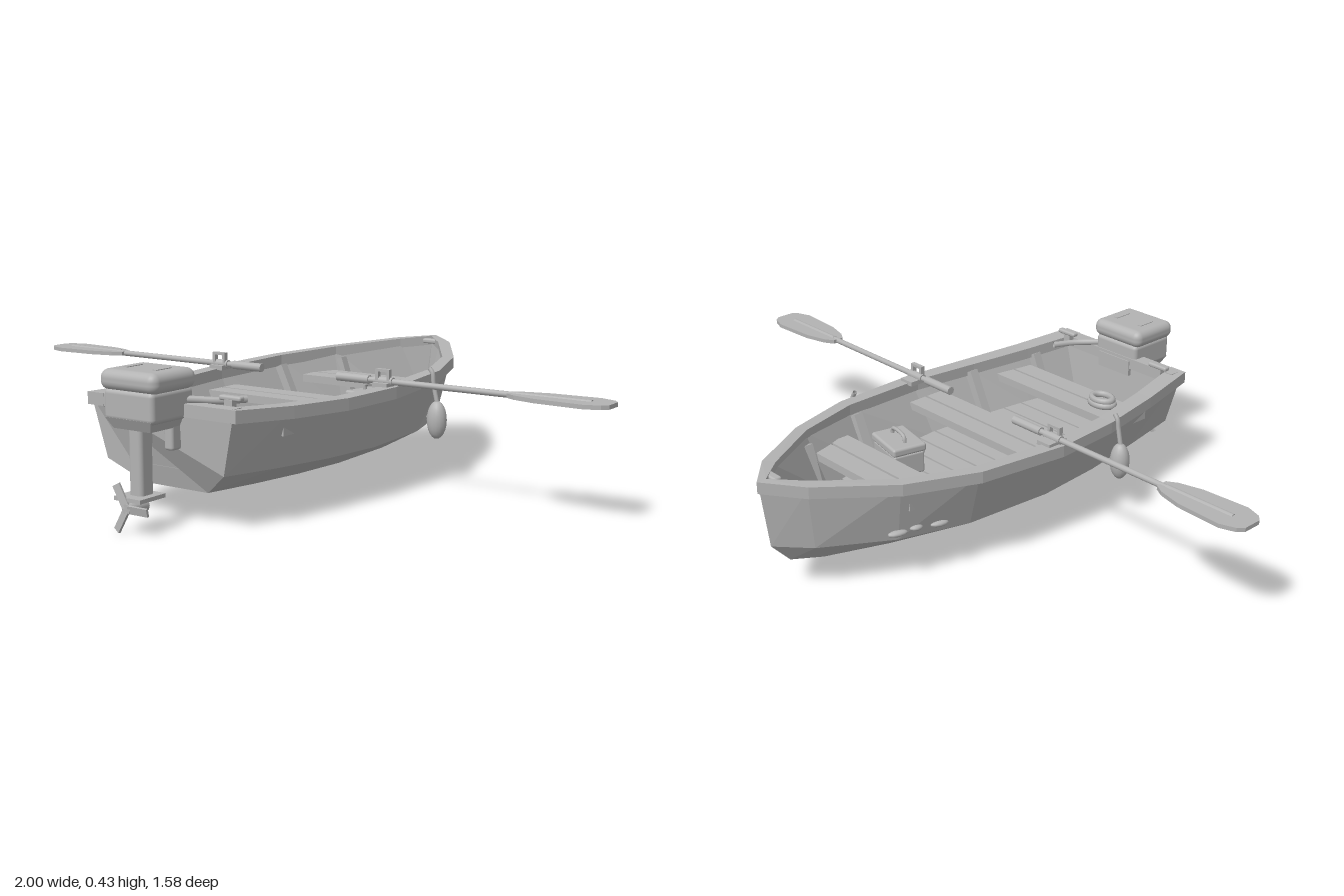
import * as THREE from 'three';
import { RoundedBoxGeometry } from 'three/addons/geometries/RoundedBoxGeometry.js';

const grey = new THREE.MeshStandardMaterial({ color: 0xb3b3b3, side: THREE.DoubleSide });
grey.name = 'plain grey';

// Hull stations: z, half width and height of the gunwale, stern to bow
const STATIONS = [
  [0.655, 0.257, 0.335], [0.45, 0.293, 0.322], [0.24, 0.325, 0.316], [0.02, 0.342, 0.319],
  [-0.27, 0.315, 0.328], [-0.49, 0.24, 0.338], [-0.70, 0.105, 0.353], [-0.79, 0, 0.36],
];
const progress = (z) => (0.655 - z) / 1.445;

function gunwaleAt(z) {
  let i = 0;
  while (i < STATIONS.length - 2 && STATIONS[i + 1][0] > z) i++;
  const a = STATIONS[i], b = STATIONS[i + 1];
  const k = (a[0] - z) / (a[0] - b[0]);
  return { w: a[1] + (b[1] - a[1]) * k, y: a[2] + (b[2] - a[2]) * k };
}

export function createModel() {
  const model = new THREE.Group();
  model.name = 'rowingBoat';

  function add(name, geometry, x = 0, y = 0, z = 0, parent = model) {
    const mesh = new THREE.Mesh(geometry, grey);
    mesh.name = name;
    mesh.position.set(x, y, z);
    parent.add(mesh);
    return mesh;
  }
  const box = (name, w, h, d, x, y, z, parent) => add(name, new THREE.BoxGeometry(w, h, d), x, y, z, parent);
  const rounded = (name, w, h, d, r, x, y, z, parent) =>
    add(name, new RoundedBoxGeometry(w, h, d, 3, r), x, y, z, parent);
  const tube = (name, points, r, parent) => add(name, new THREE.TubeGeometry(
    new THREE.CatmullRomCurve3(points.map((p) => new THREE.Vector3(...p))), 20, r, 8), 0, 0, 0, parent);

  // Flat shaded surface through a row of cross-sections
  function loft(rows, closed) {
    const pos = [];
    const n = rows[0].length;
    for (let i = 0; i < rows.length - 1; i++) {
      for (let j = 0; j < (closed ? n : n - 1); j++) {
        const k = (j + 1) % n;
        const a = rows[i][j], b = rows[i][k], c = rows[i + 1][k], d = rows[i + 1][j];
        pos.push(...a, ...b, ...c, ...a, ...c, ...d);
      }
    }
    for (let j = 1; j < n - 1; j++) pos.push(...rows[0][0], ...rows[0][j + 1], ...rows[0][j]);
    const g = new THREE.BufferGeometry();
    g.setAttribute('position', new THREE.Float32BufferAttribute(pos, 3));
    g.computeVertexNormals();
    return g;
  }

  // Skin whose levels run from sheer to bottom: [width scale, inset, stern z, bow z, height rule]
  const skin = (levels) => loft(STATIONS.map(([z, w, y]) => {
    const t = progress(z);
    const half = levels.map(([k, inset, stern, bow, height]) =>
      [Math.max(0, w * k - inset), height(y, t), stern + (bow - stern) * t]);
    return [...half.map(([x, h, d]) => [-x, h, d]), ...half.reverse()];
  }), false);
  const bend = (t) => (2 * t - 1) ** 2;
  add('outerHull', skin([
    [1, 0.012, 0.65, -0.785, (y) => y - 0.015],
    [0.79, 0, 0.638, -0.76, (y, t) => 0.135 + 0.018 * bend(t)],
    [0.43, 0, 0.59, -0.70, (y, t) => 0.073 + 0.015 * bend(t)],
  ]));
  add('innerHull', skin([
    [1, 0.028, 0.62, -0.765, (y) => y - 0.01],
    [0.72, 0.02, 0.605, -0.715, () => 0.145],
  ]));

  // Gunwale rails, narrowing to the bow, and transom cap
  for (const s of [-1, 1]) {
    add('gunwale', loft(STATIONS.map(([z, w, y]) => {
      const t = progress(z);
      const x = s * w, inner = s * Math.max(0, w - 0.058 * (1 - 0.5 * t));
      const zi = z + 0.03 * t ** 4;
      return [[x, y, z], [inner, y, zi], [inner, y - 0.035, zi], [x, y - 0.035, z]];
    }), true));
  }
  box('transomCap', 0.48, 0.035, 0.045, 0, 0.317, 0.631);

  // Floor planks
  for (let z = -0.49; z < 0.59; z += 0.07) {
    box('floorPlank', 2 * (0.71 * gunwaleAt(z - 0.03).w - 0.006), 0.014, 0.063, 0, 0.152, z);
  }

  // Benches of two boards each
  for (const [z, w, d] of [[-0.385, 0.45, 0.066], [0.04, 0.56, 0.062], [0.395, 0.53, 0.062]]) {
    for (const s of [-1, 1]) box('benchBoard', w, 0.024, d, 0, 0.25, z + s * (d / 2 + 0.004));
  }

  for (const s of [-1, 1]) {
    // Ribs leaning on the inner walls
    for (const z of [-0.49, -0.25, 0.23, 0.48]) {
      const { w } = gunwaleAt(z);
      const rib = box('rib', 0.028, 0.15, 0.03, s * (0.86 * w - 0.037), 0.228, z);
      rib.rotation.z = -s * Math.atan2(0.28 * w - 0.008, 0.17);
    }

    // Oar with a ridged blade
    const oar = new THREE.Group();
    oar.name = 'oar';
    oar.position.set(0, 0.332, 0.02);
    model.add(oar);
    const rod = (name, r, from, to) => {
      add(name, new THREE.CylinderGeometry(r, r, to - from, 10), s * (from + to) / 2, 0, 0, oar).rotation.z = Math.PI / 2;
    };
    rod('oarShaft', 0.009, 0.2, 0.76);
    rod('oarGrip', 0.013, 0.14, 0.25);
    rod('oarCollar', 0.013, 0.27, 0.33);
    rod('bladeRidge', 0.01, 0.72, 0.94);
    const edge = [[0.70, 0.018], [0.73, 0.036], [0.80, 0.054], [0.94, 0.062], [0.985, 0.046], [1, 0.028]];
    const outline = [...edge, ...edge.map(([x, z]) => [x, -z]).reverse()];
    const shape = new THREE.Shape(outline.map(([x, z]) => new THREE.Vector2(s * x, z)));
    add('oarBlade', new THREE.ExtrudeGeometry(shape, { depth: 0.012, bevelEnabled: false }), 0, 0.006, 0, oar)
      .rotation.x = Math.PI / 2;

    // Oarlock: a small arch over the shaft
    box('oarlockBase', 0.05, 0.014, 0.07, s * 0.3, 0.322, 0.012);
    for (const k of [-1, 1]) box('oarlockHorn', 0.009, 0.04, 0.014, s * 0.3 + k * 0.019, 0.344, 0.025);
    box('oarlockTop', 0.047, 0.008, 0.014, s * 0.3, 0.364, 0.025);

    // Fender on its rope
    const z = s > 0 ? -0.215 : 0.265;
    const { w, y } = gunwaleAt(z);
    add('fender', new THREE.SphereGeometry(1, 16, 12), s * 0.34, 0.187, z).scale.set(0.031, 0.058, 0.028);
    tube('fenderRope', [[s * 0.34, 0.24, z], [s * (w + 0.008), 0.29, z], [s * (w + 0.003), y, z],
      [s * (w - 0.008), y + 0.016, z]], 0.007);

    // Stern cleats
    box('cleatFoot', 0.025, 0.03, 0.02, s * 0.197, 0.335, 0.60);
    rounded('cleatBar', 0.072, 0.014, 0.022, 0.006, s * 0.197, 0.353, 0.595);

    // Small growths on the bow sides
    for (const [bz, by, r] of [[-0.357, 0.167, 0.028], [-0.425, 0.172, 0.02], [-0.478, 0.167, 0.03]]) {
      const lump = add('hullLump', new THREE.SphereGeometry(1, 10, 8), s * (gunwaleAt(bz - 0.01).w * 0.83 - 0.002), by, bz);
      lump.scale.set(0.013, 0.009, r);
      lump.rotation.y = s * 0.3;
    }
  }

  // Bow cleat
  rounded('bowCleat', 0.07, 0.016, 0.026, 0.006, 0.025, 0.347, -0.728);

  // Rope coil on the rear bench
  for (const [r, y] of [[0.041, 0.271], [0.036, 0.285]]) {
    const coil = add('ropeCoil', new THREE.TorusGeometry(r, 0.011, 8, 24), -0.14, y, 0.4);
    coil.rotation.x = Math.PI / 2;
    coil.scale.y = 0.74;
  }

  // Tackle box
  const chest = new THREE.Group();
  chest.name = 'tackleBox';
  chest.position.set(0.122, 0.159, -0.205);
  chest.rotation.y = -0.22;
  model.add(chest);
  rounded('chestBody', 0.14, 0.07, 0.1, 0.006, 0, 0.035, 0, chest);
  rounded('chestLid', 0.15, 0.026, 0.11, 0.008, 0, 0.083, 0, chest);
  tube('chestHandle', [[-0.04, 0.092, 0], [-0.035, 0.112, 0], [0.035, 0.112, 0], [0.04, 0.092, 0]], 0.006, chest);
  for (const x of [-0.045, 0.045]) box('chestLatch', 0.018, 0.03, 0.008, x, 0.07, 0.056, chest);

  // Outboard motor
  const motor = new THREE.Group();
  motor.name = 'outboardMotor';
  model.add(motor);
  rounded('cowlTop', 0.195, 0.056, 0.175, 0.024, 0, 0.4, 0.695, motor);
  rounded('cowlBody', 0.17, 0.085, 0.165, 0.014, 0, 0.336, 0.694, motor);
  const taper = add('cowlTaper', new THREE.CylinderGeometry(0.112, 0.09, 0.03, 4, 1)
    .rotateY(Math.PI / 4).toNonIndexed(), 0, 0.287, 0.697, motor);
  taper.geometry.computeVertexNormals();
  for (const s of [-1, 1]) {
    box('cowlVent', 0.014, 0.006, 0.06, s * 0.05, 0.427, 0.695, motor);
    rounded('clampArm', 0.03, 0.08, 0.04, 0.008, s * 0.05, 0.25, 0.658, motor);
  }
  box('mountBracket', 0.13, 0.05, 0.07, 0, 0.30, 0.64, motor);
  rounded('driveLeg', 0.045, 0.2, 0.052, 0.012, 0, 0.183, 0.728, motor);
  box('splashPlate', 0.09, 0.011, 0.1, 0, 0.092, 0.735, motor);
  const gear = add('gearCase', new THREE.CylinderGeometry(0.014, 0.02, 0.07, 12), 0, 0.068, 0.755, motor);
  gear.rotation.x = Math.PI / 2;
  tube('tillerArm', [[0.06, 0.345, 0.65], [0.1, 0.342, 0.615], [0.145, 0.338, 0.575], [0.18, 0.337, 0.51]], 0.01, motor);

  // Three-bladed propeller
  for (let i = 0; i < 3; i++) {
    const blade = new THREE.Group();
    blade.name = 'propellerBlade';
    blade.position.set(0, 0.068, 0.786);
    blade.rotation.z = i * Math.PI * 2 / 3;
    motor.add(blade);
    box('bladePlate', 0.066, 0.022, 0.007, 0.038, 0, 0, blade).rotation.x = 0.2;
  }
  return model;
}
